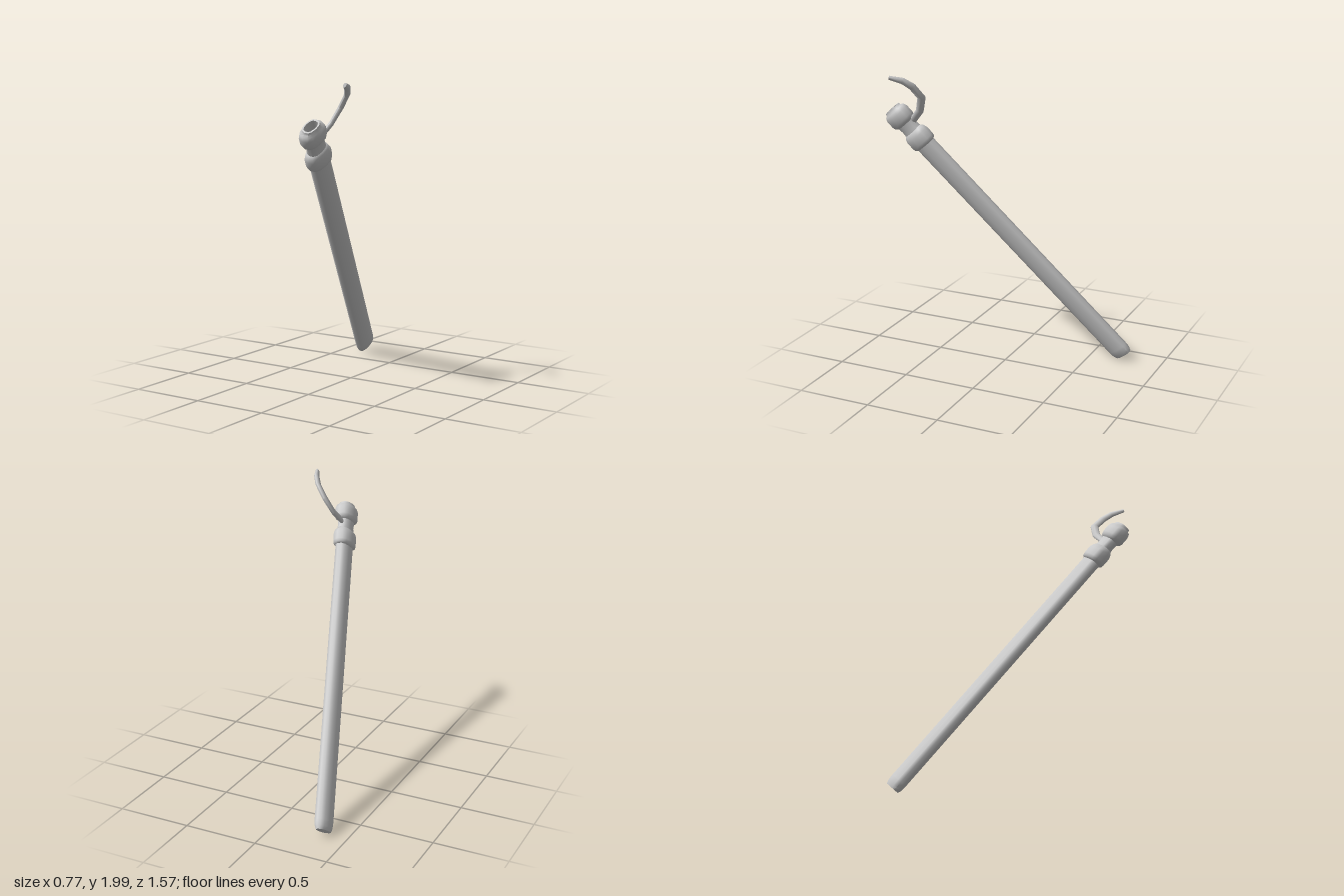
import * as THREE from 'three';
import { toCreasedNormals } from 'three/addons/utils/BufferGeometryUtils.js';

const SIDES = 12;
const V = (x, y, z) => new THREE.Vector3(x, y, z);
const material = new THREE.MeshStandardMaterial({ color: 0xcccccc });

// Softly squared oval: n points spanned by two half-axes around a centre
function oval(centre, u, v, n = SIDES, power = 0.8) {
  return Array.from({ length: n }, (_, i) => {
    const t = (i / n) * Math.PI * 2;
    const f = (k) => Math.sign(k) * Math.pow(Math.abs(k), power);
    return centre.clone().addScaledVector(u, f(Math.cos(t))).addScaledVector(v, f(Math.sin(t)));
  });
}

// Skin a row of equal cross-sections and close both ends
function loft(name, rings, crease) {
  const n = rings[0].length;
  const points = rings.flat();
  const index = [];
  for (let r = 0; r < rings.length - 1; r++) {
    for (let i = 0; i < n; i++) {
      const a = r * n + i, b = r * n + ((i + 1) % n);
      index.push(a, b, b + n, a, b + n, a + n);
    }
  }
  const last = (rings.length - 1) * n;
  for (let i = 1; i < n - 1; i++) {
    index.push(0, i + 1, i, last, last + i, last + i + 1);
  }
  const geometry = new THREE.BufferGeometry().setFromPoints(points);
  geometry.setIndex(index);
  const mesh = new THREE.Mesh(toCreasedNormals(geometry, crease), material);
  mesh.name = name;
  return mesh;
}

export function createModel() {
  const model = new THREE.Group();
  model.name = 'scabbard';

  // Leaning frame: length along "axis", broad side along "wide"
  const base = V(-0.345, 0.055, -0.727);
  const axis = V(0.233, 0.735, 0.636).normalize();
  const wide = V(0.252, 0.586, -0.77);
  wide.addScaledVector(axis, -wide.dot(axis)).normalize();
  const thin = new THREE.Vector3().crossVectors(axis, wide);

  // Each profile row: distance along the axis, half width, half thickness
  const along = (name, rows, crease = 0.8) => model.add(loft(name, rows.map(([s, a, b]) =>
    oval(base.clone().addScaledVector(axis, s), wide.clone().multiplyScalar(a),
      thin.clone().multiplyScalar(b))), crease));

  // Long flattened sheath with a slightly rounded tip
  along('sheath', [
    [-0.015, 0.066, 0.03], [0.01, 0.075, 0.04], [0.05, 0.077, 0.043], [2.0, 0.077, 0.043],
  ]);

  // Rounded band at the top of the sheath
  along('lowerCollar', [
    [1.965, 0.076, 0.042], [1.975, 0.09, 0.058], [1.995, 0.094, 0.063],
    [2.05, 0.094, 0.063], [2.075, 0.086, 0.054], [2.095, 0.066, 0.04],
  ], 1.1);

  along('neck', [[2.07, 0.072, 0.046], [2.12, 0.066, 0.042], [2.18, 0.072, 0.046]]);

  // Mouth band with raised lip and a recessed opening
  along('mouthCollar', [
    [2.155, 0.066, 0.042], [2.17, 0.088, 0.057], [2.19, 0.094, 0.064],
    [2.24, 0.094, 0.064], [2.265, 0.085, 0.056], [2.275, 0.066, 0.046],
    [2.29, 0.062, 0.043], [2.29, 0.05, 0.034], [2.22, 0.046, 0.03],
  ], 0.9);

  // Curved belt hook rising from the neck, tapering to its tip
  const path = [
    [0.155, 1.645, 0.61, 0.024], [0.195, 1.745, 0.52, 0.026], [0.24, 1.845, 0.48, 0.028],
    [0.305, 1.925, 0.51, 0.027], [0.34, 1.965, 0.56, 0.024], [0.374, 1.985, 0.64, 0.015],
  ];
  const pts = path.map(([x, y, z]) => V(x, y, z));
  const normal = new THREE.Vector3()
    .crossVectors(pts[2].clone().sub(pts[0]), pts[5].clone().sub(pts[0])).normalize();
  const hookRings = pts.map((p, i) => {
    const tangent = pts[Math.min(i + 1, 5)].clone().sub(pts[Math.max(i - 1, 0)]).normalize();
    const side = new THREE.Vector3().crossVectors(normal, tangent).normalize();
    const flat = new THREE.Vector3().crossVectors(tangent, side);
    return oval(p, side.multiplyScalar(path[i][3]), flat.multiplyScalar(path[i][3] * 0.6), 8);
  });
  model.add(loft('beltHook', hookRings, 1.0));

  return model;
}
